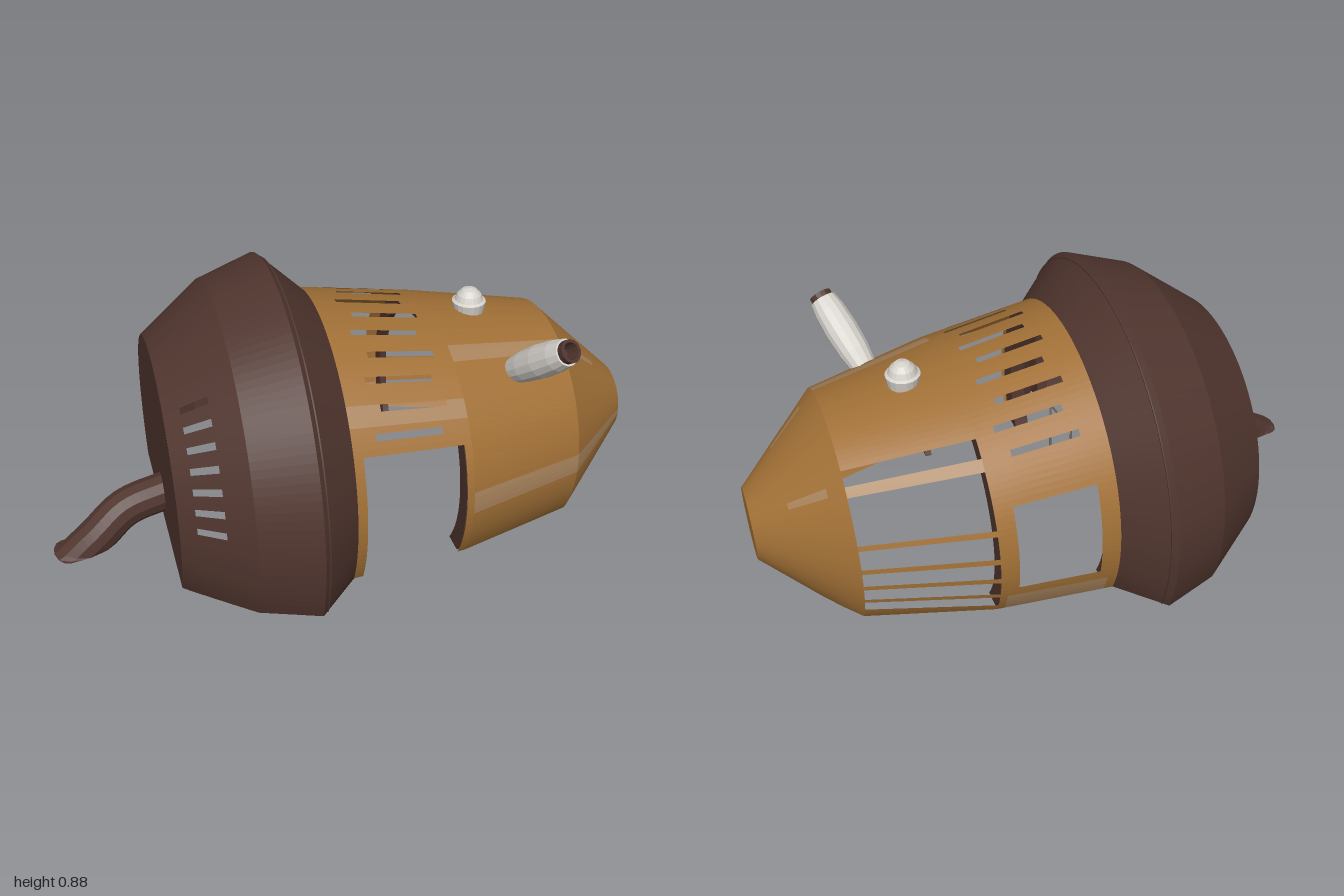
import * as THREE from 'three';

const CY = 0.215; // height of the acorn's long axis
const RAD = Math.PI / 180;
const mat = (name, color) => {
  const m = new THREE.MeshStandardMaterial({ color, side: THREE.DoubleSide });
  m.name = name;
  return m;
};

// Linear interpolation through [x, value] pairs
function along(pairs, x) {
  for (let i = 1; i < pairs.length; i++) {
    const [x0, v0] = pairs[i - 1], [x1, v1] = pairs[i];
    if (x <= x1 || i === pairs.length - 1) return v0 + (v1 - v0) * (x - x0) / (x1 - x0);
  }
}

// Shell around the x axis, cut off at the ground. Angles run from the top, positive to the front.
// rule(x, angle) gives the material of a cell, or null for an opening.
function shell(name, xs, ry, rz, rule) {
  const group = new THREE.Group();
  group.name = name;
  const cells = new Map();
  const step = 2.5;
  const limit = (x) => {
    const r = along(ry, x);
    return r > CY ? Math.acos(-CY / r) / RAD : 180;
  };
  const point = (x, a) => {
    const t = THREE.MathUtils.clamp(a, -limit(x), limit(x)) * RAD;
    return [x, CY + along(ry, x) * Math.cos(t), along(rz, x) * Math.sin(t)];
  };
  for (let i = 0; i + 1 < xs.length; i++) {
    const x0 = xs[i], x1 = xs[i + 1], far = Math.max(limit(x0), limit(x1));
    for (let a = -180; a < 180; a += step) {
      if (a >= far || a + step <= -far) continue;
      const m = rule((x0 + x1) / 2, a + step / 2);
      if (!m) continue;
      if (!cells.has(m)) cells.set(m, []);
      const p = point(x0, a), q = point(x0, a + step), r = point(x1, a + step), s = point(x1, a);
      cells.get(m).push(...p, ...q, ...r, ...p, ...r, ...s);
    }
  }
  for (const [m, pos] of cells) {
    const g = new THREE.BufferGeometry();
    g.setAttribute('position', new THREE.Float32BufferAttribute(pos, 3));
    g.computeVertexNormals();
    const mesh = new THREE.Mesh(g, m);
    mesh.name = name + ' ' + m.name;
    group.add(mesh);
  }
  return group;
}

// Arch (or full wall when inner is 0) across the x axis, standing on the ground
function arch(name, x, depth, outer, inner, material, widen = 1) {
  const s = new THREE.Shape();
  const low = (r) => Math.asin(-CY / r);
  s.absarc(0, CY, outer, low(outer), Math.PI - low(outer), false);
  if (inner) s.absarc(0, CY, inner, Math.PI - low(inner), low(inner), true);
  s.closePath();
  const g = new THREE.ExtrudeGeometry(s, { depth, bevelEnabled: false, curveSegments: 48 });
  const mesh = new THREE.Mesh(g, material);
  mesh.name = name;
  mesh.rotation.y = -Math.PI / 2;
  mesh.scale.x = widen;
  mesh.position.x = x + depth;
  return mesh;
}

function rod(a, b, r, material) {
  const d = b.clone().sub(a);
  const mesh = new THREE.Mesh(new THREE.CylinderGeometry(r, r, d.length(), 6), material);
  mesh.position.copy(a).addScaledVector(d, 0.5);
  mesh.quaternion.setFromUnitVectors(new THREE.Vector3(0, 1, 0), d.normalize());
  mesh.name = 'rod';
  return mesh;
}

export function createModel() {
  const root = new THREE.Group();
  root.name = 'acorn house';
  const wood = mat('golden wood', 0xa17036);
  const pale = mat('pale wood', 0xa8835c);
  const bark = mat('brown bark', 0x50352e);
  const grey = mat('light grey', 0xd6d2cc);
  const metal = mat('dull metal', 0x77706a);
  const within = (v, a, b) => v > a && v < b;

  // Nut body: doorway, rear doorway, slatted rear window and roof slots
  const ry = [[-0.1, 0.533], [0.72, 0.39], [1, 0.12]];
  const rz = [[-0.1, 0.533], [0.31, 0.505], [0.72, 0.39], [1, 0.12]];
  const slats = [-43.75, -46.25, -71.25, -83.75, -93.75, -103.75];
  const bodyRule = (x, a) => {
    if (within(x, -0.05, 0.285) && a > 62.5) return null;
    if (within(x, -0.02, 0.25) && within(a, -100, -62.5)) return null;
    if (within(x, 0.31, 0.72) && within(a, -112.5, -35)) {
      if (!slats.includes(a)) return null;
      return a > -50 ? pale : wood;
    }
    if (within(x, 0, 0.25) && within(a, -45, 59)) {
      const k = (a + 43.75) / 10;
      if (Number.isInteger(k) && (k % 2 ? x > 0.03 : x < 0.22)) return null;
    }
    if (within(x, -0.05, 0.285) && a < -105) return pale;
    if (x < 0.31 && within(a, 45, 52.5)) return pale;
    if (x > 0.31 && within(a, 82.5, 92.5)) return pale;
    if (within(x, 0.31, 0.72) && within(a, 22.5, 30)) return pale;
    if (within(x, 0.75, 0.88) && (within(a, 22.5, 27.5) || within(a, -45, -40))) return pale;
    return wood;
  };
  root.add(shell('nut body',
    [-0.1, -0.05, -0.02, 0, 0.03, 0.22, 0.25, 0.285, 0.31, 0.45, 0.6, 0.72, 0.77, 0.82, 0.86, 0.885, 0.897, 0.91, 1],
    ry, rz, bodyRule));

  const tip = new THREE.Mesh(new THREE.CircleGeometry(0.12, 48), wood);
  tip.name = 'nose plate';
  tip.rotation.y = Math.PI / 2;
  tip.position.set(1, CY, 0);
  root.add(tip);

  // Cap with vent slots on the front side
  const cap = [[-0.62, 0.44], [-0.41, 0.6], [-0.22, 0.665], [-0.08, 0.53]];
  root.add(shell('cap', [-0.62, -0.57, -0.49, -0.41, -0.22, -0.08], cap, cap, (x, a) =>
    within(x, -0.57, -0.49) && within(a, 35, 82) && (a - 36.25) % 7.5 === 0 ? null : bark));
  root.add(arch('cap back wall', -0.62, 0.015, 0.438, 0, bark));

  // Plank battens inside the back wall
  for (let i = -3; i <= 3; i++) {
    const z = i * 0.11, h = CY + Math.sqrt(0.42 ** 2 - z * z);
    const b = new THREE.Mesh(new THREE.BoxGeometry(0.015, h, 0.02), bark);
    b.name = 'wall batten';
    b.position.set(-0.6, h / 2, z);
    root.add(b);
  }

  // Inner ribs
  root.add(arch('cap rib', -0.24, 0.04, 0.65, 0.56, bark));
  root.add(arch('collar rib', -0.11, 0.05, 0.525, 0.45, bark));
  root.add(arch('body rib', 0.286, 0.023, 0.455, 0.4, bark, 1.09));

  // Bent stem, cut flat where it meets the ground
  const path = new THREE.CatmullRomCurve3([[-0.6, 0.128, 0.025], [-0.75, 0.1, 0.05], [-0.85, 0.035, 0.085], [-0.96, -0.05, 0.105]]
    .map((p) => new THREE.Vector3(...p)));
  let stemGeo = new THREE.TubeGeometry(path, 16, 0.065, 12);
  const sp = stemGeo.attributes.position;
  for (let i = 0; i < sp.count; i++) sp.setXYZ(i, Math.max(-1, sp.getX(i)), Math.max(0, sp.getY(i)), sp.getZ(i));
  stemGeo = stemGeo.toNonIndexed();
  stemGeo.computeVertexNormals();
  const stem = new THREE.Mesh(stemGeo, bark);
  stem.name = 'stem';
  root.add(stem);

  // Turned parts: faceted lathe from [radius, height] pairs
  const turned = (name, profile, sides, material) => {
    const g = new THREE.LatheGeometry(profile.map((p) => new THREE.Vector2(...p)), sides).toNonIndexed();
    g.computeVertexNormals();
    const m = new THREE.Mesh(g, material);
    m.name = name;
    return m;
  };

  // Tilted chimney with a dark core
  const chimney = new THREE.Group();
  chimney.name = 'chimney';
  chimney.add(turned('chimney pipe', [[0.043, 0], [0.052, 0.06], [0.056, 0.14], [0.052, 0.22], [0.044, 0.265], [0.036, 0.265]], 14, grey));
  chimney.add(turned('chimney core', [[0.036, 0.2], [0.038, 0.285], [0.028, 0.285], [0.022, 0.24], [0, 0.24]], 14, bark));
  chimney.position.set(0.525, 0.55, 0.255);
  chimney.quaternion.setFromUnitVectors(new THREE.Vector3(0, 1, 0), new THREE.Vector3(0.08, 0.17, 0.2).normalize());
  root.add(chimney);

  // Roof knob
  const knob = turned('roof knob', [[0.05, 0], [0.057, 0.04], [0.048, 0.045], [0.04, 0.064], [0.024, 0.08], [0, 0.086]], 18, grey);
  knob.position.set(0.455, 0.642, -0.005);
  root.add(knob);

  // Thin crossed rack with small round feet inside the cap
  const rack = new THREE.Group();
  rack.name = 'rack';
  const V = (x, y, z) => new THREE.Vector3(x, y, z);
  for (let i = 0; i < 3; i++) {
    const x = -0.26 + i * 0.08;
    rack.add(rod(V(x, 0.3, 0.14), V(x, 0.1, 0.14), 0.004, metal));
    if (i < 2) {
      rack.add(rod(V(x, 0.3, 0.14), V(x + 0.08, 0.16, 0.14), 0.004, metal));
      rack.add(rod(V(x, 0.16, 0.14), V(x + 0.08, 0.3, 0.14), 0.004, metal));
    }
    const foot = new THREE.Mesh(new THREE.CylinderGeometry(0.008, 0.016, 0.012, 10), metal);
    foot.name = 'rack foot';
    foot.position.set(x, 0.1, 0.14);
    rack.add(foot);
  }
  root.add(rack);
  return root;
}
